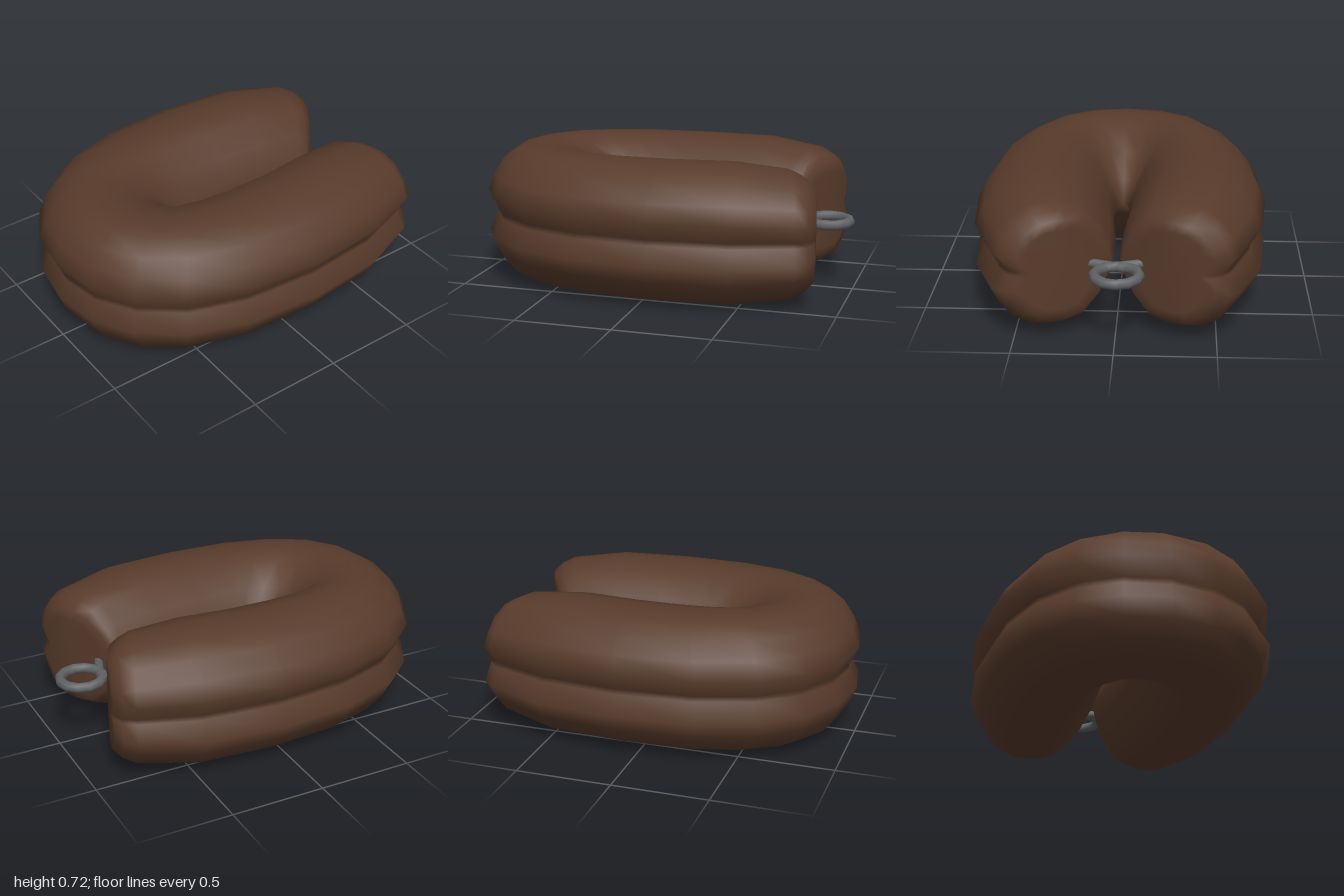
import * as THREE from 'three';
import { mergeVertices } from 'three/addons/utils/BufferGeometryUtils.js';

const MID = 0.358; // height of the seam

// Upper half of the cross-section: [inner 0 .. outer 1, height above the seam]
const upper = [
  [0.915, 0.015], [1, 0.11], [0.935, 0.2], [0.835, 0.288], [0.69, 0.343], [0.57, 0.356],
  [0.45, 0.358], [0.28, 0.33], [0.13, 0.22], [0.04, 0.1],
];
const section = [...upper, [0, 0], ...upper.slice().reverse().map(([w, v]) => [w, -v])];

// Stations from the back to one tip:
// outer x, z, inner x, z, height scale, fullness towards the outside (1 = none), forward bulge
const half = [
  [-1, 0, -0.12, 0, 1, 0.6, 0],
  [-0.96, 0.24, -0.118, 0.012, 1, 0.62, 0],
  [-0.84, 0.45, -0.105, 0.024, 1, 0.7, 0],
  [-0.64, 0.62, -0.08, 0.034, 1, 0.86, 0],
  [-0.33, 0.73, -0.02, 0.04, 1, 0.96, 0],
  [0.08, 0.765, 0.15, 0.037, 1, 1, 0],
  [0.5, 0.725, 0.38, 0.016, 1.005, 1, 0],
  [0.81, 0.61, 0.59, 0.012, 0.91, 1, 0.01],
  [0.865, 0.565, 0.635, 0.015, 0.82, 1, 0.025],
  [0.885, 0.495, 0.66, 0.025, 0.72, 1, 0.04],
  [0.882, 0.45, 0.7, 0.085, 0.58, 1, 0.03],
  [0.825, 0.265, 0.825, 0.265, 0, 1, 0],
];

// U-shaped cushion: the section swept from the +z tip round the back to the -z tip
function cushionGeometry() {
  const mirrored = half.slice(1).map(([ox, oz, ix, iz, ...rest]) => [ox, -oz, ix, -iz, ...rest]);
  const stations = [...half.slice().reverse(), ...mirrored];
  const n = section.length;
  const positions = [];
  const index = [];
  stations.forEach(([ox, oz, ix, iz, h, fullness, bulge], s) => {
    section.forEach(([w, v], i) => {
      const t = w ** fullness;
      positions.push(
        ix + (ox - ix) * t + bulge * Math.sin(Math.PI * t),
        MID + v * h,
        iz + (oz - iz) * t,
      );
      if (s === stations.length - 1) return;
      const a = s * n + i;
      const b = s * n + (i + 1) % n;
      index.push(a, b, b + n, a, b + n, a + n);
    });
  });
  let geometry = new THREE.BufferGeometry();
  geometry.setAttribute('position', new THREE.Float32BufferAttribute(positions, 3));
  geometry.setIndex(index);
  geometry = mergeVertices(geometry); // joins the points at each tip
  geometry.computeVertexNormals();
  return geometry;
}

export function createModel() {
  const fabric = new THREE.MeshStandardMaterial({ color: 0x583b2b });
  fabric.name = 'brown fabric';
  const metal = new THREE.MeshStandardMaterial({ color: 0x606264 });
  metal.name = 'grey metal';

  const model = new THREE.Group();
  model.name = 'neckPillow';
  const add = (name, geometry, material) => {
    const mesh = new THREE.Mesh(geometry, material);
    mesh.name = name;
    model.add(mesh);
    return mesh;
  };

  add('cushion', cushionGeometry(), fabric);

  // Pull ring lying flat between the tips
  const ring = add('pullRing', new THREE.TorusGeometry(0.11, 0.027, 8, 12), metal);
  ring.rotation.x = Math.PI / 2;
  ring.position.set(0.864, MID, -0.01);

  // Two crossed links joining the ring to the tips
  for (const side of [1, -1]) {
    const path = new THREE.CatmullRomCurve3([
      new THREE.Vector3(0.775, MID, -0.05 * side),
      new THREE.Vector3(0.75, MID, 0.02 * side),
      new THREE.Vector3(0.705, MID, 0.15 * side),
    ]);
    add(side > 0 ? 'leftLink' : 'rightLink', new THREE.TubeGeometry(path, 6, 0.024, 8), metal);
  }
  return model;
}
